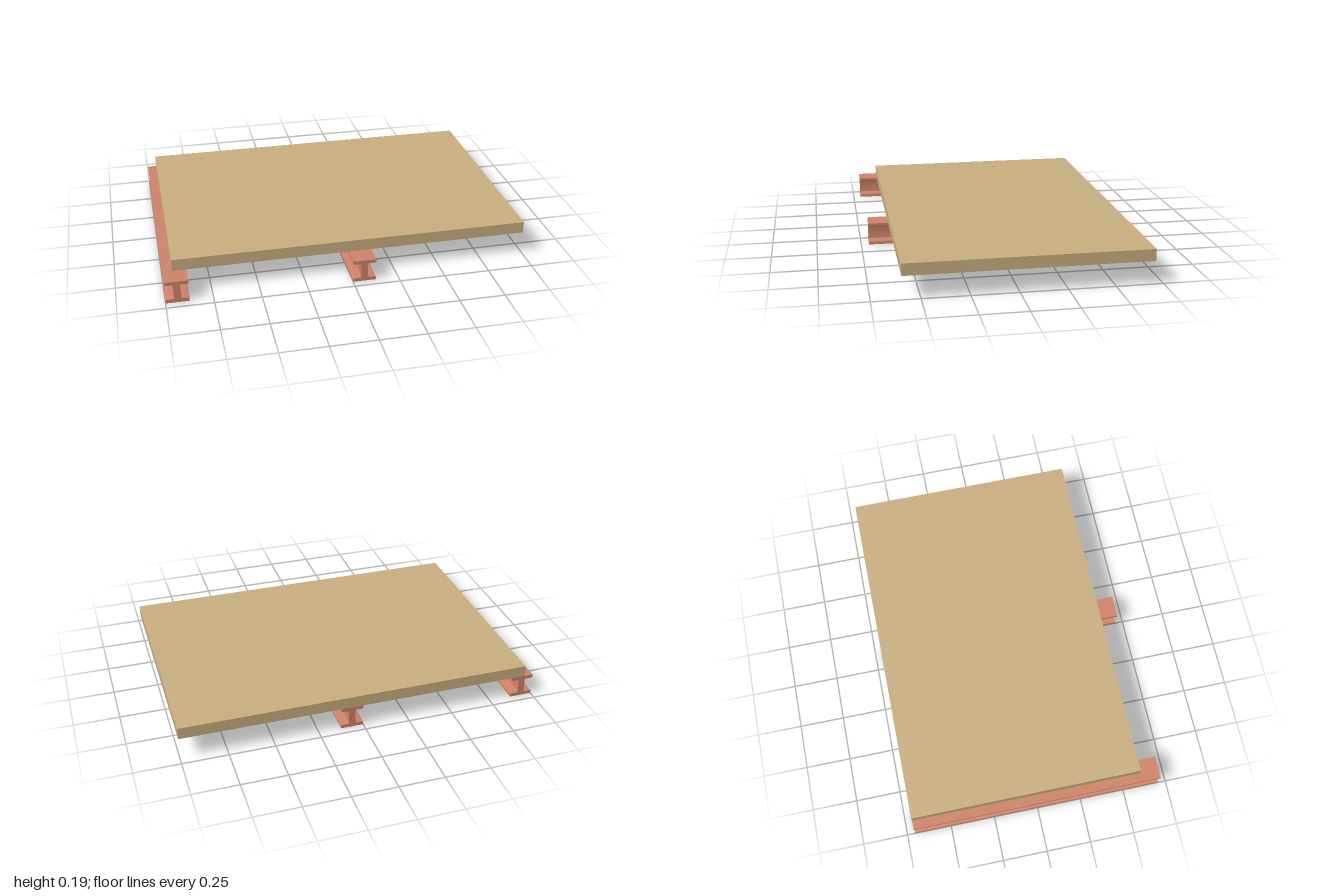
import * as THREE from 'three';
import { toCreasedNormals } from 'three/addons/utils/BufferGeometryUtils.js';

const BEAM = { size: 0.125, length: 1.41, flange: 0.02, web: 0.036, fillet: 0.01, toe: 0.006 };

// I-shaped section, centred on x with its foot on y = 0
function beamSection() {
  const { size, flange, web, fillet, toe } = BEAM;
  const h = size / 2, w = web / 2, top = size - flange;
  const s = new THREE.Shape();
  s.moveTo(-h, 0);
  s.lineTo(h, 0);
  s.lineTo(h, flange - toe);
  s.quadraticCurveTo(h, flange, h - toe, flange);
  s.lineTo(w + fillet, flange);
  s.quadraticCurveTo(w, flange, w, flange + fillet);
  s.lineTo(w, top - fillet);
  s.quadraticCurveTo(w, top, w + fillet, top);
  s.lineTo(h - toe, top);
  s.quadraticCurveTo(h, top, h, top + toe);
  s.lineTo(h, size);
  s.lineTo(-h, size);
  s.lineTo(-h, top + toe);
  s.quadraticCurveTo(-h, top, -h + toe, top);
  s.lineTo(-w - fillet, top);
  s.quadraticCurveTo(-w, top, -w, top - fillet);
  s.lineTo(-w, flange + fillet);
  s.quadraticCurveTo(-w, flange, -w - fillet, flange);
  s.lineTo(-h + toe, flange);
  s.quadraticCurveTo(-h, flange, -h, flange - toe);
  s.closePath();
  return s;
}

export function createModel() {
  const model = new THREE.Group();
  model.name = 'deckOnBeams';

  const steel = new THREE.MeshStandardMaterial({ color: 0xcd8269 });
  const board = new THREE.MeshStandardMaterial({ color: 0xc8ad7f });

  // Two steel beams running front to back
  const extruded = new THREE.ExtrudeGeometry(beamSection(), {
    depth: BEAM.length, bevelEnabled: false, curveSegments: 6,
  });
  extruded.translate(0, 0, -BEAM.length / 2);
  const beamGeometry = toCreasedNormals(extruded, Math.PI / 6);
  for (const [name, x] of [['rightBeam', -0.9375], ['middleBeam', 0.0625]]) {
    const beam = new THREE.Mesh(beamGeometry, steel);
    beam.name = name;
    beam.position.x = x;
    model.add(beam);
  }

  // Deck panel resting on the beams, flush with their back ends
  const deck = new THREE.Mesh(new THREE.BoxGeometry(1.95, 0.065, 1.3), board);
  deck.name = 'deckPanel';
  deck.position.set(0.025, BEAM.size + 0.0325, -0.055);
  model.add(deck);

  return model;
}
